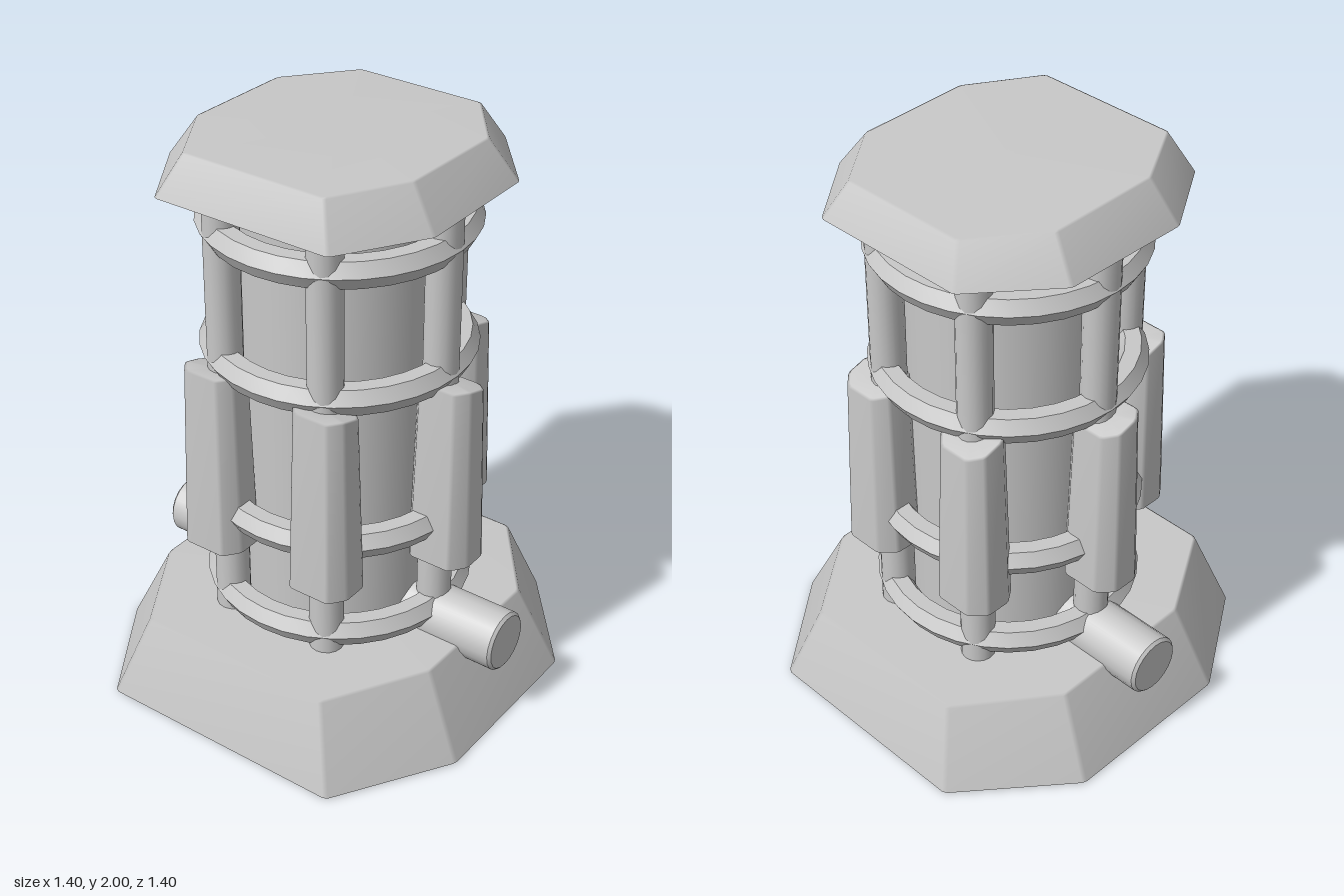
import * as THREE from 'three';
import { toCreasedNormals } from 'three/addons/utils/BufferGeometryUtils.js';

// Uneven octagon, counter-clockwise from above, in half-widths
const OCTAGON = [[-0.645, 1], [0.645, 1], [1, 0.44], [1, -0.48], [0.57, -1], [-0.57, -1], [-1, -0.48], [-1, 0.44]];
const PIPE_BOTTOM = 0.2, PIPE_TOP = 1.84;

// Octagon outline with every corner cut by a small bevel
function outline(hx, hz, bevel) {
  const corners = OCTAGON.map(([x, z]) => new THREE.Vector2(x * hx, z * hz));
  return corners.flatMap((p, i) => [corners[(i + 7) % 8], corners[(i + 1) % 8]].map((q) =>
    q.clone().sub(p).setLength(bevel).add(p)));
}

// Tapered octagonal block with bevelled edges; its top slopes down by `drop` towards the back
function octagonBlock([bx, bz], [tx, tz], y0, y1, drop, bevel) {
  const topY = (z) => y1 - drop * Math.max(0, (0.44 - z / tz) / 1.44);
  const rings = [
    [outline(bx - bevel, bz - bevel, bevel), () => y0],
    [outline(bx, bz, bevel), () => y0 + bevel * 0.5],
    [outline(tx, tz, bevel), (z) => topY(z) - bevel * 0.5],
    [outline(tx - bevel, tz - bevel, bevel), topY],
  ];
  const pos = [], index = [], n = 16;
  for (const [points, y] of rings) for (const p of points) pos.push(p.x, y(p.y), p.y);
  const low = rings.length * n, high = low + 1;
  pos.push(0, y0, 0, 0, topY(0), 0);
  for (let i = 0; i < n; i++) {
    const j = (i + 1) % n;
    for (let r = 0; r < 3; r++) {
      const a = r * n + i, b = r * n + j;
      index.push(a, b, b + n, a, b + n, a + n);
    }
    index.push(low, j, i, high, 3 * n + i, 3 * n + j);
  }
  const geo = new THREE.BufferGeometry();
  geo.setAttribute('position', new THREE.Float32BufferAttribute(pos, 3));
  geo.setIndex(index);
  geo.computeVertexNormals();
  return geo;
}

// Turned part: smooth around, sharp along the profile
function turned(profile, sides) {
  const points = profile.map(([r, y]) => new THREE.Vector2(r, y));
  return toCreasedNormals(new THREE.LatheGeometry(points, sides), 0.5);
}

// Round bar with chamfered ends, centred on its length
function roundBar(radius, length, sides, bevel) {
  const h = length / 2;
  return turned([[0, -h], [radius - bevel, -h], [radius, bevel - h],
    [radius, h - bevel], [radius - bevel, h], [0, h]], sides);
}

export function createModel() {
  const model = new THREE.Group();
  const grey = new THREE.MeshStandardMaterial({ color: 0xc8c8c8 });

  const add = (name, geo, x = 0, y = 0, z = 0) => {
    const mesh = new THREE.Mesh(geo, grey);
    mesh.name = name;
    mesh.position.set(x, y, z);
    model.add(mesh);
    return mesh;
  };

  // Foot, lid and central column
  add('base', octagonBlock([0.7, 0.7], [0.562, 0.605], 0, 0.302, 0.02, 0.01));
  add('cap', octagonBlock([0.5, 0.503], [0.407, 0.437], 1.855, 2, 0.015, 0.008));
  add('column', new THREE.CylinderGeometry(0.335, 0.335, 1.66, 32), -0.003, 1.03, 0);

  // Six upright pipes, each carrying a tapered shield
  const shield = octagonBlock([0.116, 0.098], [0.099, 0.082], 0.58, 1.249, 0.035, 0.008);
  const length = PIPE_TOP - PIPE_BOTTOM;
  const pipe = roundBar(0.059, length, 16, 0.006);
  for (let i = 0; i < 6; i++) {
    const c = Math.cos(i * Math.PI / 3), s = Math.sin(i * Math.PI / 3);
    add('uprightPipe', pipe, c * 0.396 - 0.003, (PIPE_BOTTOM + PIPE_TOP) / 2, s * 0.396);
    add('shield', shield, c * 0.433, 0, s * 0.431);
  }

  // Hoops with a six-sided section
  const section = [];
  for (let i = 0; i <= 6; i++) {
    const a = i * Math.PI / 3;
    section.push([0.405 + 0.053 * Math.cos(a), 0.053 * Math.sin(a)]);
  }
  const hoop = turned(section, 32);
  for (const y of [0.363, 0.72, 1.267, 1.71]) add('hoop', hoop, -0.002, y, 0);

  // Cross pipe passing through the foot from side to side
  add('crossPipe', roundBar(0.105, 1.38, 20, 0.01), -0.003, 0.31, 0).rotation.z = Math.PI / 2;

  return model;
}
